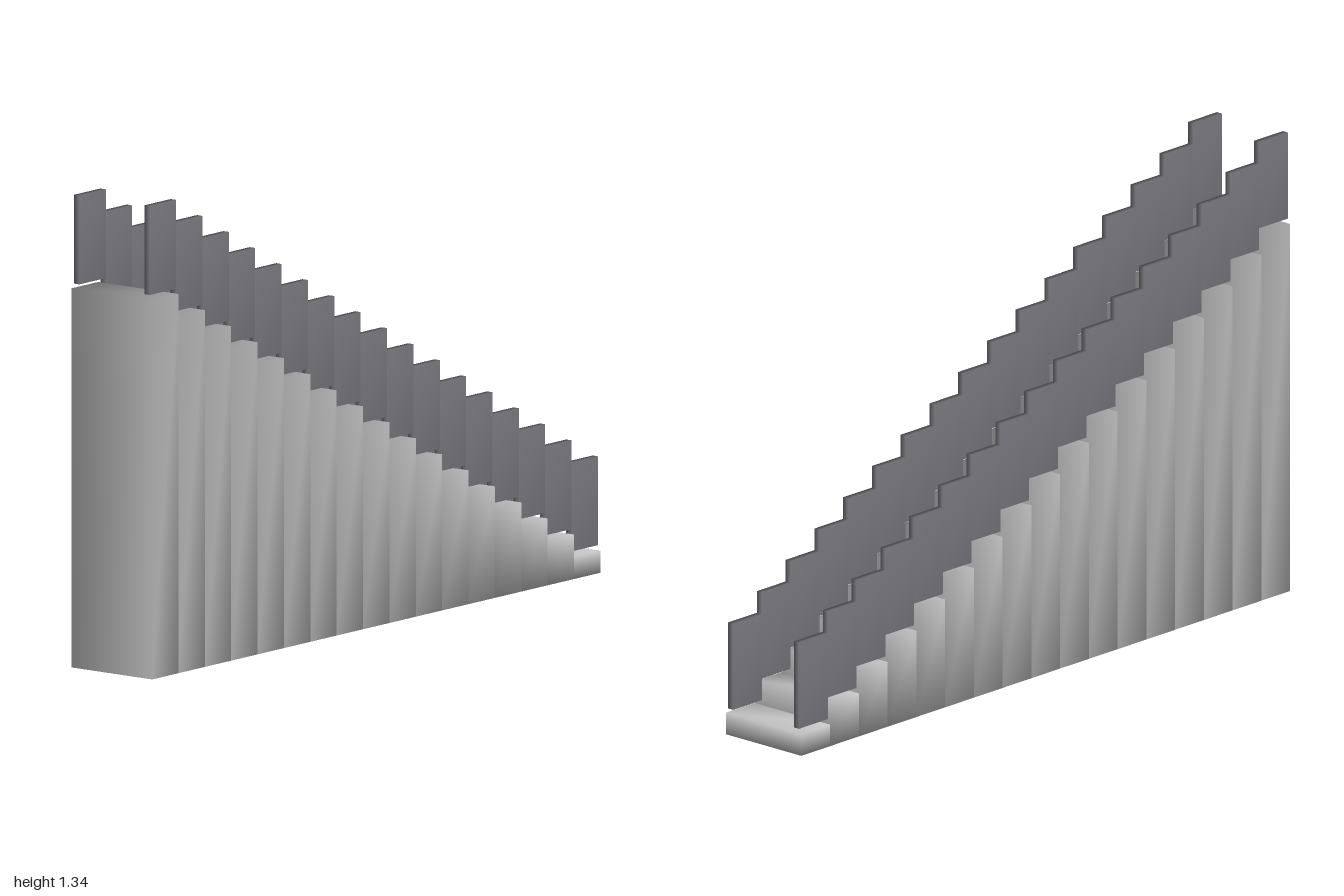
import * as THREE from 'three';
import { mergeVertices } from 'three/addons/utils/BufferGeometryUtils.js';

const STEPS = 17;
const DEPTH = 2 / STEPS;
const RISE = 0.063;
const WIDTH = 0.285;

// Box with shared corners, so its shading is smooth across the edges
function softBox(w, h, d) {
  const box = new THREE.BoxGeometry(w, h, d);
  box.deleteAttribute('normal');
  box.deleteAttribute('uv');
  const geometry = mergeVertices(box);
  geometry.computeVertexNormals();
  return geometry;
}

export function createModel() {
  const model = new THREE.Group();
  model.name = 'staircase';
  const stepMaterial = new THREE.MeshStandardMaterial({ color: 0xcccccc });
  const railMaterial = new THREE.MeshStandardMaterial({ color: 0x74747a });
  const panelGeometry = softBox(0.019, 0.251, DEPTH);

  // Steps climb from the back to the front, each one a full-height block
  for (let i = 0; i < STEPS; i++) {
    const height = RISE * (i + 1);
    const z = -1 + DEPTH * (i + 0.5);

    const step = new THREE.Mesh(softBox(WIDTH, height, DEPTH), stepMaterial);
    step.name = `step${i + 1}`;
    step.position.set(0, height / 2, z);
    model.add(step);

    // A railing panel on each side, hovering just above the tread
    for (const side of [-1, 1]) {
      const panel = new THREE.Mesh(panelGeometry, railMaterial);
      panel.name = `${side > 0 ? 'left' : 'right'}RailPanel${i + 1}`;
      panel.position.set(side * 0.1245, height + 0.014 + 0.1255, z);
      model.add(panel);
    }
  }
  return model;
}
